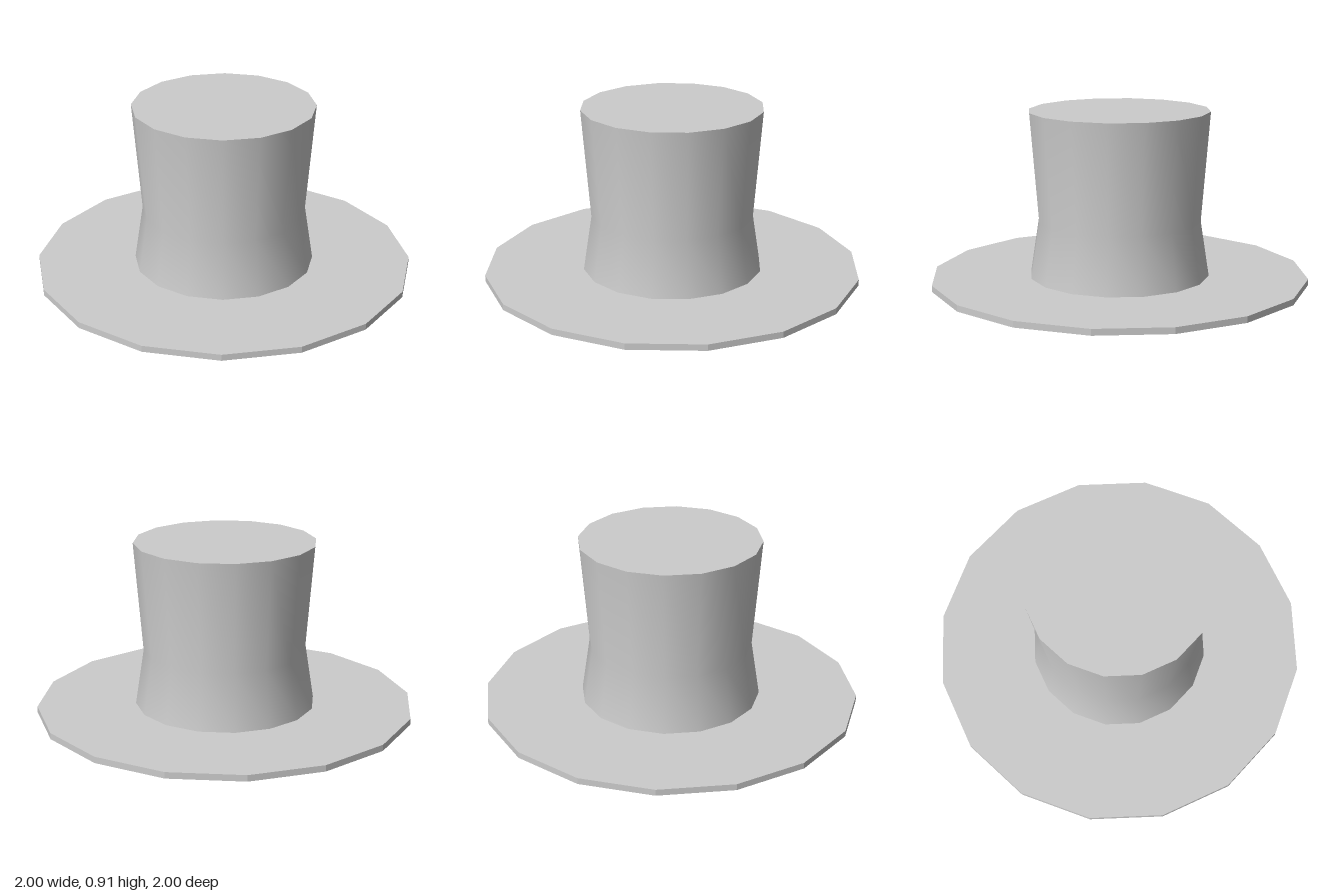
import * as THREE from 'three';

const SIDES = 16;
const profile = (pts) => pts.map(([r, y]) => new THREE.Vector2(r, y));

export function createModel() {
  const model = new THREE.Group();
  model.name = 'topHat';

  const add = (name, geometry, options) => {
    const material = new THREE.MeshStandardMaterial({ color: 0xcccccc, ...options });
    const mesh = new THREE.Mesh(geometry, material);
    mesh.name = name;
    model.add(mesh);
    return mesh;
  };

  // Flat faceted brim with an open centre
  add('brim', new THREE.LatheGeometry(
    profile([[0.478, 0], [1, 0], [1, 0.033], [0.478, 0.033]]), SIDES), { flatShading: true });

  // Hollow crown wall, pinched at the waist
  add('crown', new THREE.LatheGeometry(
    profile([[0.478, 0], [0.478, 0.033], [0.432, 0.33], [0.478, 0.91]]), SIDES),
  { side: THREE.DoubleSide });

  // Flat lid closing the crown
  const lid = add('crownTop', new THREE.CircleGeometry(0.478, SIDES), { side: THREE.DoubleSide });
  lid.rotation.x = -Math.PI / 2;
  lid.position.y = 0.91;

  return model;
}
